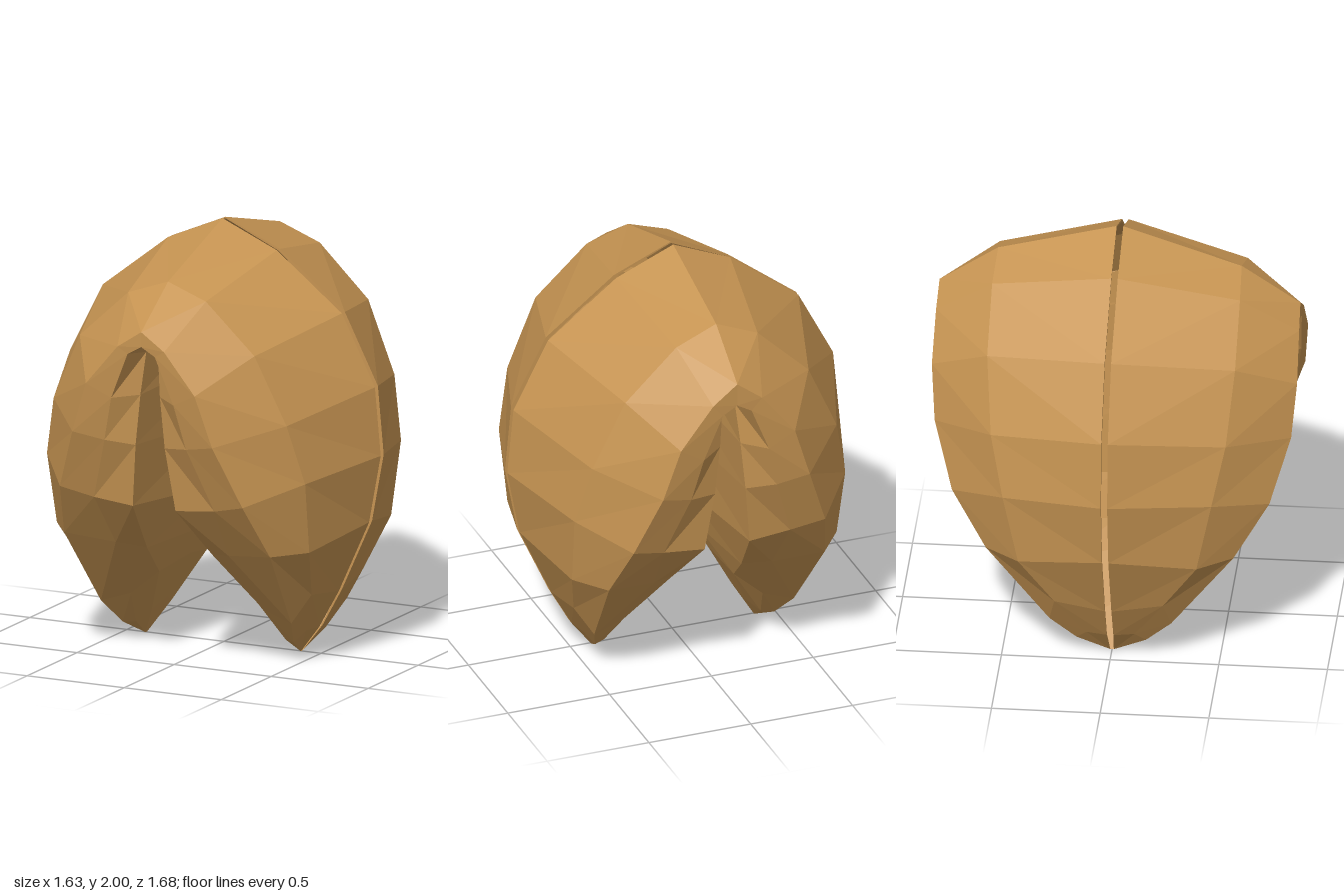
import * as THREE from 'three';

// Curves running from the crown to the tip of one lobe, as [x, y, z] points.
const seam = [[0, 2, .015], [.28, 1.88, .015], [.615, 1.62, .015], [.785, 1.29, .015], [.815, .97, .015],
  [.755, .65, .015], [.6, .31, .015], [.5, .13, .015], [.4, 0, .008]];
const shoulder = [[0, 1.82, .56], [.2, 1.75, .57], [.45, 1.52, .57], [.6, 1.2, .54], [.665, .92, .48],
  [.65, .58, .41], [.58, .34, .25], [.48, .13, .11], [.4, 0, .008]];
const ridge = [[0, 1.64, .83], [.12, 1.56, .835], [.28, 1.37, .84], [.36, 1.13, .82], [.47, .84, .73],
  [.53, .58, .57], [.49, .2, .28], [.44, .08, .16], [.4, 0, .008]];
const rim = [[0, 1.57, .83], [.07, 1.53, .83], [.16, 1.31, .82], [.21, 1.1, .79], [.31, .8, .7],
  [.29, .55, .52], [.34, .25, .27], [.385, .08, .13], [.4, 0, .008]];
const crease = [[0, 1.56, .72], [.03, 1.52, .72], [.05, 1.32, .74], [.075, 1.08, .74], [.11, .78, .7],
  [.17, .52, .44], [.21, .36, .24], [.32, .14, .1], [.4, 0, .008]];
const fold = [[0, 1.77, 0], [0, 1.6, 0], [0, 1.35, 0], [.025, 1.05, 0], [.05, .73, 0],
  [.11, .53, 0], [.17, .4, 0], [.29, .18, 0], [.4, 0, 0]];

// Thin lip turned inward along the open seam, towards the middle of the lobe.
const lip = seam.map(([x, y, z], i) => {
  const [fx, fy] = fold[i];
  return [x + (fx - x) * .03, y + (fy - y) * .03, z];
});
const curves = [lip, seam, shoulder, ridge, rim, crease, fold];

// One half of the folded sheet: both lobes on one side of the seam.
function sheetHalf(name, sz, lift, material) {
  const pos = [], index = [], n = seam.length;
  for (const sx of [1, -1]) {
    const base = pos.length / 3;
    curves.forEach((curve, j) => curve.forEach(([x, y, z], i) => {
      // the crown is a little fuller where lift is given
      const raise = (j === 2 || j === 3) ? lift * Math.max(0, 1 - i / 4) : 0;
      pos.push(sx * x, y + raise, sz * z);
    }));
    for (let j = 0; j < curves.length - 1; j++) {
      for (let i = 0; i < n - 1; i++) {
        const a = base + j * n + i, b = a + 1, c = a + n, d = c + 1;
        if (sx * sz > 0) index.push(a, c, b, b, c, d);
        else index.push(a, b, c, b, d, c);
      }
    }
  }
  const geometry = new THREE.BufferGeometry();
  geometry.setAttribute('position', new THREE.Float32BufferAttribute(pos, 3));
  geometry.setIndex(index);
  const flat = geometry.toNonIndexed();
  flat.computeVertexNormals();
  const mesh = new THREE.Mesh(flat, material);
  mesh.name = name;
  return mesh;
}

export function createModel() {
  const group = new THREE.Group();
  group.name = 'foldedCookie';
  const dough = new THREE.MeshStandardMaterial({ color: 0xc69452, flatShading: true, side: THREE.DoubleSide });
  group.add(sheetHalf('frontShell', 1, 0, dough));
  group.add(sheetHalf('backShell', -1, .04, dough));
  return group;
}
